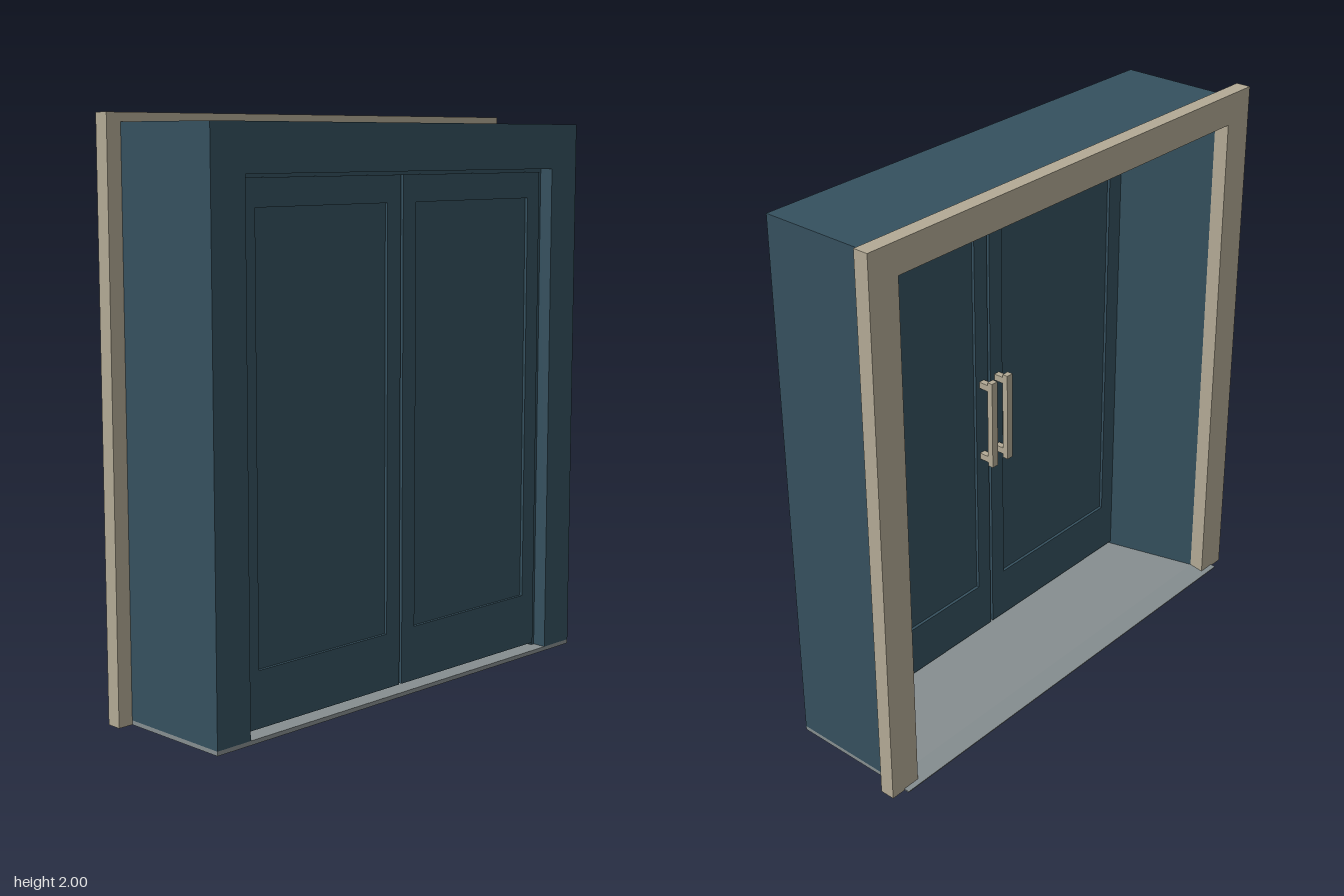
import * as THREE from 'three';

const mat = (name, color) => new THREE.MeshStandardMaterial({ name, color });

// Polygon outline extruded along z from z0 to z1
function plate(points, z0, z1, hole) {
  const shape = new THREE.Shape(points.map(p => new THREE.Vector2(...p)));
  if (hole) shape.holes.push(new THREE.Path(hole.map(p => new THREE.Vector2(...p))));
  const g = new THREE.ExtrudeGeometry(shape, { depth: z1 - z0, bevelEnabled: false });
  return g.translate(0, 0, z0);
}

const rect = (x0, y0, x1, y1) => [[x0, y0], [x1, y0], [x1, y1], [x0, y1]];

// Skin over a loop of portal outlines, each [half width, top, z]
function portal(sections, base) {
  const arch = ([w, t, z]) => [[-w, base, z], [-w, t, z], [w, t, z], [w, base, z]];
  const pos = [];
  sections.forEach((s, i) => {
    const a = arch(s), b = arch(sections[(i + 1) % sections.length]);
    for (let j = 0; j < 3; j++) {
      pos.push(...a[j], ...b[j], ...a[j + 1], ...b[j], ...b[j + 1], ...a[j + 1]);
    }
  });
  const g = new THREE.BufferGeometry();
  g.setAttribute('position', new THREE.Float32BufferAttribute(pos, 3));
  g.computeVertexNormals();
  return g;
}

export function createModel() {
  const blue = mat('slate blue paint', 0x35505e);
  const beige = mat('beige trim', 0xb3aa95);
  const grey = mat('grey floor', 0x868e90);

  const model = new THREE.Group();
  model.name = 'doorway';
  const add = (parent, name, geometry, material) => {
    const m = new THREE.Mesh(geometry, material);
    m.name = name;
    parent.add(m);
    return m;
  };

  // Deep frame: front reveal, door stop, then jambs and ceiling splayed to the back
  add(model, 'frame', portal([
    [0.885, 1.97, -0.178], [0.885, 1.97, 0.252],
    [0.745, 1.81, 0.252], [0.745, 1.81, 0.2],
    [0.73, 1.798, 0.2], [0.73, 1.798, 0.165],
    [0.82, 1.89, -0.178],
  ], 0.015), blue);

  // Trim around the back opening
  add(model, 'trim', plate([
    [-0.94, 0], [-0.82, 0], [-0.82, 1.89], [0.82, 1.89],
    [0.82, 0], [0.94, 0], [0.94, 2], [-0.94, 2],
  ], -0.233, -0.178), beige);

  // Floor slab with a thin toe at the back
  const floor = plate([
    [-0.252, 0], [0.252, 0], [0.252, 0.004], [0.178, 0.015], [-0.252, 0.015],
  ], -0.885, 0.885).rotateY(Math.PI / 2);
  add(model, 'floor', floor, grey);

  // Pair of doors, each with a recessed panel and a pull handle behind
  for (const side of [-1, 1]) {
    const door = new THREE.Group();
    door.name = side > 0 ? 'leftDoor' : 'rightDoor';
    const [a, b] = side > 0 ? [0.006, 0.73] : [-0.73, -0.006];
    const [c, d] = side > 0 ? [0.07, 0.665] : [-0.665, -0.07];
    add(door, 'doorFrame', plate(rect(a, 0.025, b, 1.798), 0.163, 0.205, rect(c, 0.22, d, 1.705)), blue);
    add(door, 'doorPanel', plate(rect(c, 0.22, d, 1.705), 0.174, 0.194), blue);

    const handle = new THREE.Group();
    handle.name = 'handle';
    handle.position.set(0.04 * side, 0.93, 0);
    add(handle, 'grip', new THREE.BoxGeometry(0.028, 0.34, 0.022), beige).position.z = 0.112;
    for (const s of [-1, 1]) {
      add(handle, 'standoff', new THREE.BoxGeometry(0.024, 0.024, 0.045), beige)
        .position.set(0, 0.145 * s, 0.143);
    }
    door.add(handle);
    model.add(door);
  }
  return model;
}
